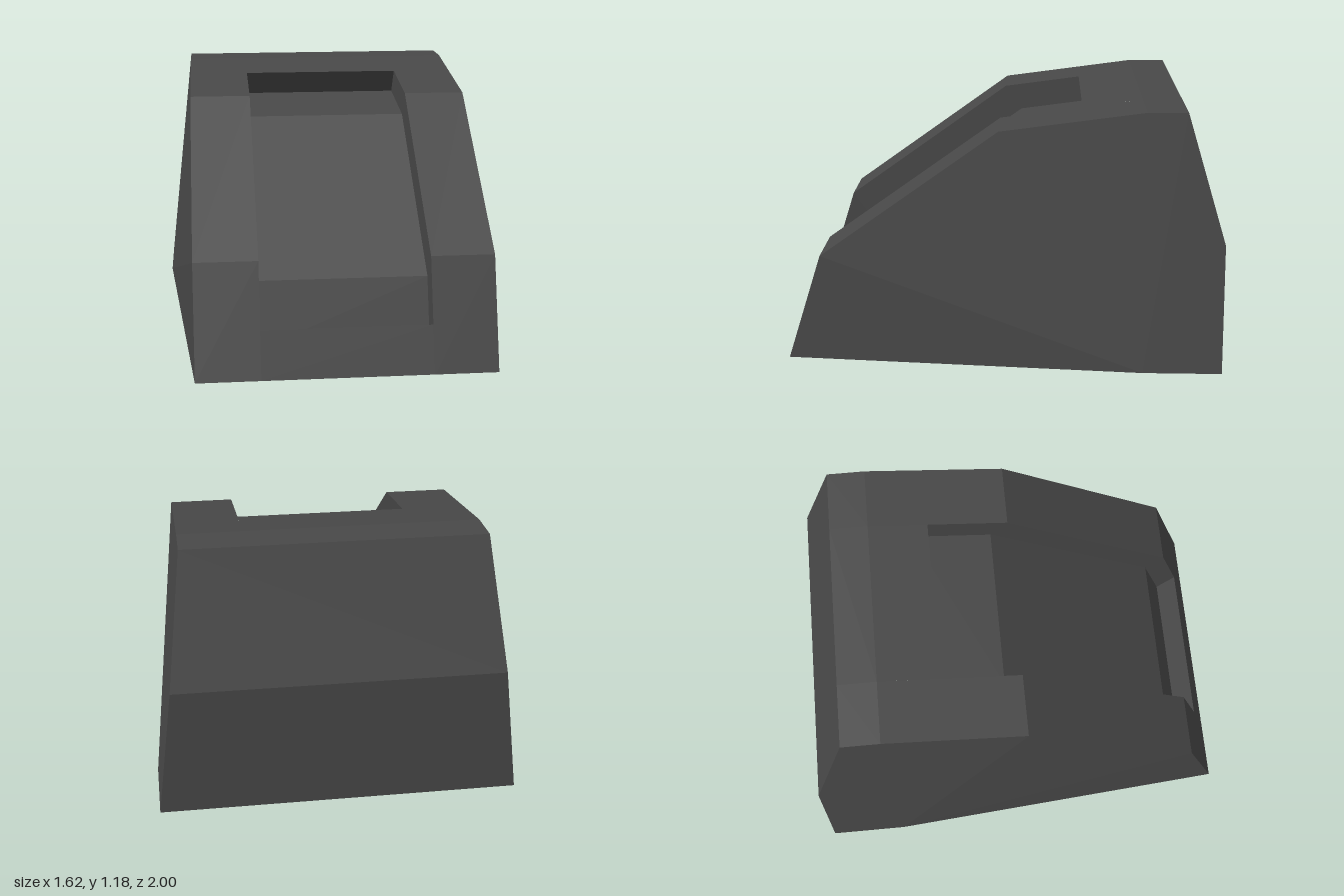
import * as THREE from 'three';

const TOP = 0.675, BASE = 0.81, SLOT = 0.385;

// Collects flat polygons (corners counter-clockwise from outside)
class Faces {
  constructor() { this.pos = []; }
  face(...p) {
    for (let i = 1; i < p.length - 1; i++) this.pos.push(...p[0], ...p[i], ...p[i + 1]);
  }
  // the same face on the +x side and mirrored on the -x side
  pair(...p) {
    this.face(...p);
    this.face(...p.map(([x, y, z]) => [-x, y, z]).reverse());
  }
  // strip between x0 and x1 following a [z, y] profile from front to back
  ribbon(profile, x0, x1) {
    for (let i = 0; i < profile.length - 1; i++) {
      const [[za, ya], [zb, yb]] = [profile[i], profile[i + 1]];
      this.face([x0, ya, za], [x1, ya, za], [x1, yb, zb], [x0, yb, zb]);
    }
  }
  mesh(name, material) {
    const g = new THREE.BufferGeometry();
    g.setAttribute('position', new THREE.Float32BufferAttribute(this.pos, 3));
    g.computeVertexNormals();
    const m = new THREE.Mesh(g, material);
    m.name = name;
    return m;
  }
}

export function createModel() {
  const group = new THREE.Group();
  group.name = 'wedgeHousing';
  const charcoal = new THREE.MeshStandardMaterial({ color: 0x484848 });
  charcoal.name = 'charcoal';

  // Side profile as [z, y], front to back
  const outer = [[1, 0], [0.84, 0.5], [0.02, 1.09], [-0.64, 1.18], [-0.82, 1.18]];
  // Slot opening along the profile, and its floor shifted back and down
  const rim = [[0.933, 0.21], outer[1], outer[2], [-0.36, 1.142]];
  const floor = rim.map(([z, y]) => [z - 0.083, y - 0.12]);

  // Front and top shell around the slot
  const shell = new Faces();
  shell.ribbon(outer, -TOP, -SLOT);
  shell.ribbon(outer, SLOT, TOP);
  shell.ribbon([outer[0], rim[0]], -SLOT, SLOT);
  shell.ribbon([rim[3], outer[3], outer[4]], -SLOT, SLOT);

  // Sides: a fan from the widest base corner, then the flat rear part
  const corner = [BASE, 0, -0.64];
  const edge = outer.map(([z, y]) => [TOP, y, z]);
  for (let i = 0; i < 3; i++) shell.pair(corner, edge[i + 1], edge[i]);
  const backBase = [BASE, 0, -1], backMid = [(TOP + BASE) / 2, 0.59, -1];
  shell.pair(corner, backBase, backMid, edge[4], edge[3]);

  // Back and underside
  const flip = ([x, y, z]) => [-x, y, z];
  shell.face(edge[4], backMid, flip(backMid), flip(edge[4]));
  shell.face(backMid, backBase, flip(backBase), flip(backMid));
  shell.face(edge[0], flip(edge[0]), flip(corner), flip(backBase), backBase, corner);
  group.add(shell.mesh('housing', charcoal));

  // Sunken slot: sill, floor, rear wall and side walls
  const slot = new Faces();
  slot.ribbon([rim[0], ...floor, rim[3]], -SLOT, SLOT);
  const at = ([z, y]) => [-SLOT, y, z];
  for (let i = 0; i < 3; i++) {
    slot.pair(at(floor[i]), at(floor[i + 1]), at(rim[i + 1]), at(rim[i]));
  }
  group.add(slot.mesh('recessedSlot', charcoal));

  return group;
}
